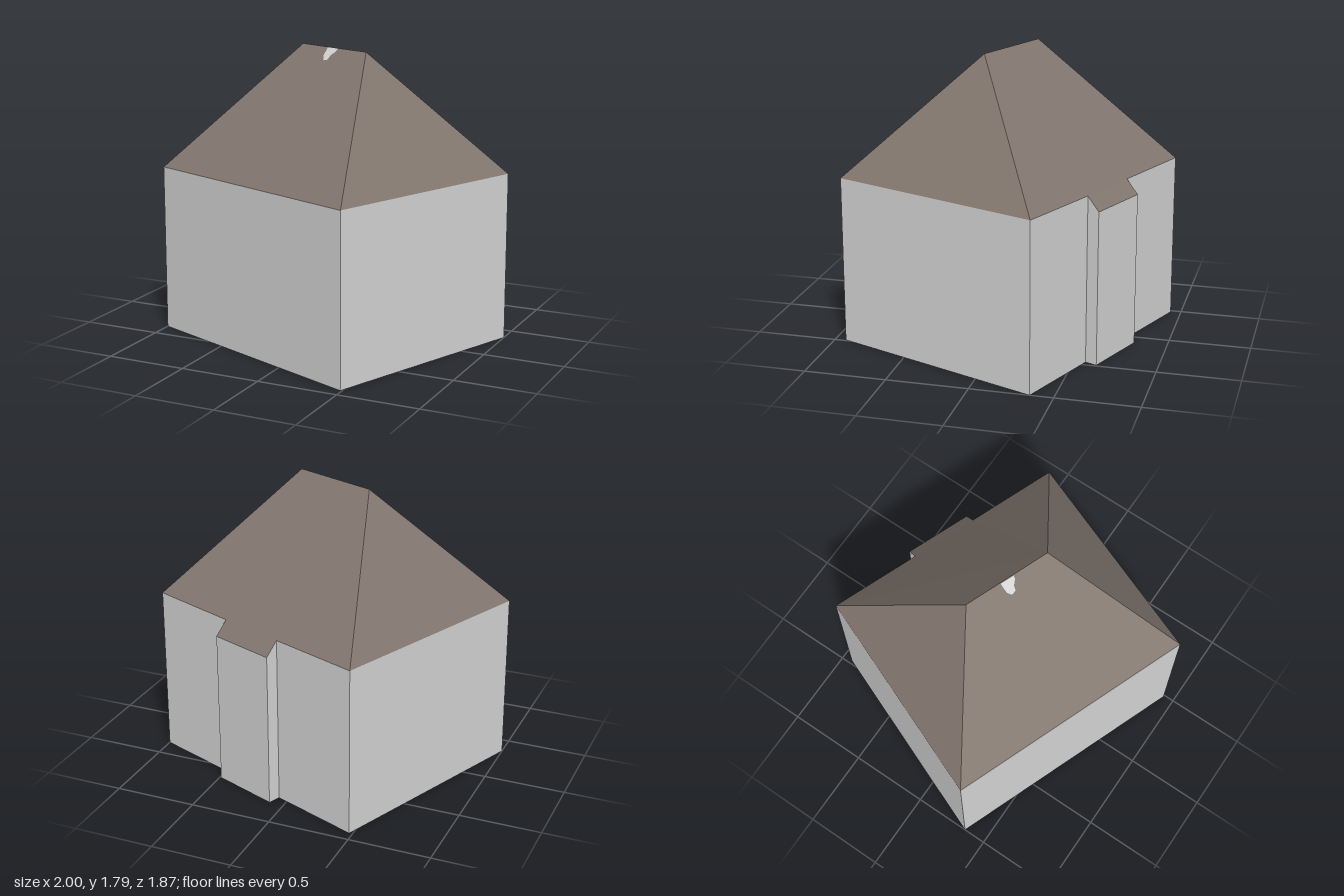
import * as THREE from 'three';

// Non-indexed geometry from triangles of Vector3, with flat normals
function fromTriangles(tris) {
  const g = new THREE.BufferGeometry().setFromPoints(tris.flat());
  g.computeVertexNormals();
  return g;
}

// Triangulate a polygon by its plan outline; facing is +1 for up, -1 for down
function polygon(points, facing = 1) {
  const plan = points.map(p => new THREE.Vector2(p.x, p.z));
  return THREE.ShapeUtils.triangulateShape(plan, []).map(t => {
    const [a, b, c] = t.map(i => points[i]);
    const ny = b.clone().sub(a).cross(c.clone().sub(a)).y;
    return ny * facing > 0 ? [a, b, c] : [a, c, b];
  });
}

export function createModel() {
  const group = new THREE.Group();
  group.name = 'house';
  const wallMat = new THREE.MeshStandardMaterial({ color: 0xd4d4d4 });
  wallMat.name = 'pale grey wall';
  const roofMat = new THREE.MeshStandardMaterial({ color: 0x82776f });
  roofMat.name = 'brown roof';

  const add = (name, tris, mat) => {
    const mesh = new THREE.Mesh(fromTriangles(tris), mat);
    mesh.name = name;
    group.add(mesh);
  };
  const v = (x, y, z) => new THREE.Vector3(x, y, z);

  // Eave outline: the back side carries a shallow bay
  const backLeftToRight = [
    v(-0.48, 1.035, -0.935),
    v(0.06, 1.035, -0.725), v(0.09, 0.952, -0.797),
    v(0.49, 0.952, -0.641), v(0.46, 1.035, -0.57),
    v(1, 1.04, -0.36),
  ];
  const front = [v(0.49, 1.04, 0.932), v(-1, 1.035, 0.355)];
  const eave = [...backLeftToRight, ...front];
  const ground = eave.map(p => v(p.x, 0, p.z));

  // Walls
  const walls = [];
  eave.forEach((top, i) => {
    const j = (i + 1) % eave.length;
    walls.push([ground[j], ground[i], top], [ground[j], top, eave[j]]);
  });
  add('walls', walls, wallMat);
  add('floor', polygon(ground, -1), wallMat);

  // Hipped roof
  const ridgeA = v(-0.257, 1.793, -0.1);
  const ridgeB = v(0.26, 1.793, 0.1);
  const backA = backLeftToRight[0];
  const backB = backLeftToRight[5];
  const [frontB, frontA] = front;
  add('backRoof', polygon([...backLeftToRight, ridgeB, ridgeA]), roofMat);
  add('frontRoof', polygon([frontA, frontB, ridgeB, ridgeA]), roofMat);
  add('leftRoof', polygon([backB, frontB, ridgeB]), roofMat);
  add('rightRoof', polygon([backA, frontA, ridgeA]), roofMat);

  // Small pale patch lying on the front slope below the ridge
  const patch = [
    [-0.045, 1.79], [-0.053, 1.74], [-0.04, 1.718], [-0.01, 1.725],
    [0.002, 1.75], [0.03, 1.772], [0.038, 1.79],
  ].map(([x, y]) => v(x, y + 0.003, ((1.793 - y) * 0.922 + 0.362 * x) / 0.932 + 0.003));
  add('roofPatch', polygon(patch), wallMat);

  return group;
}
